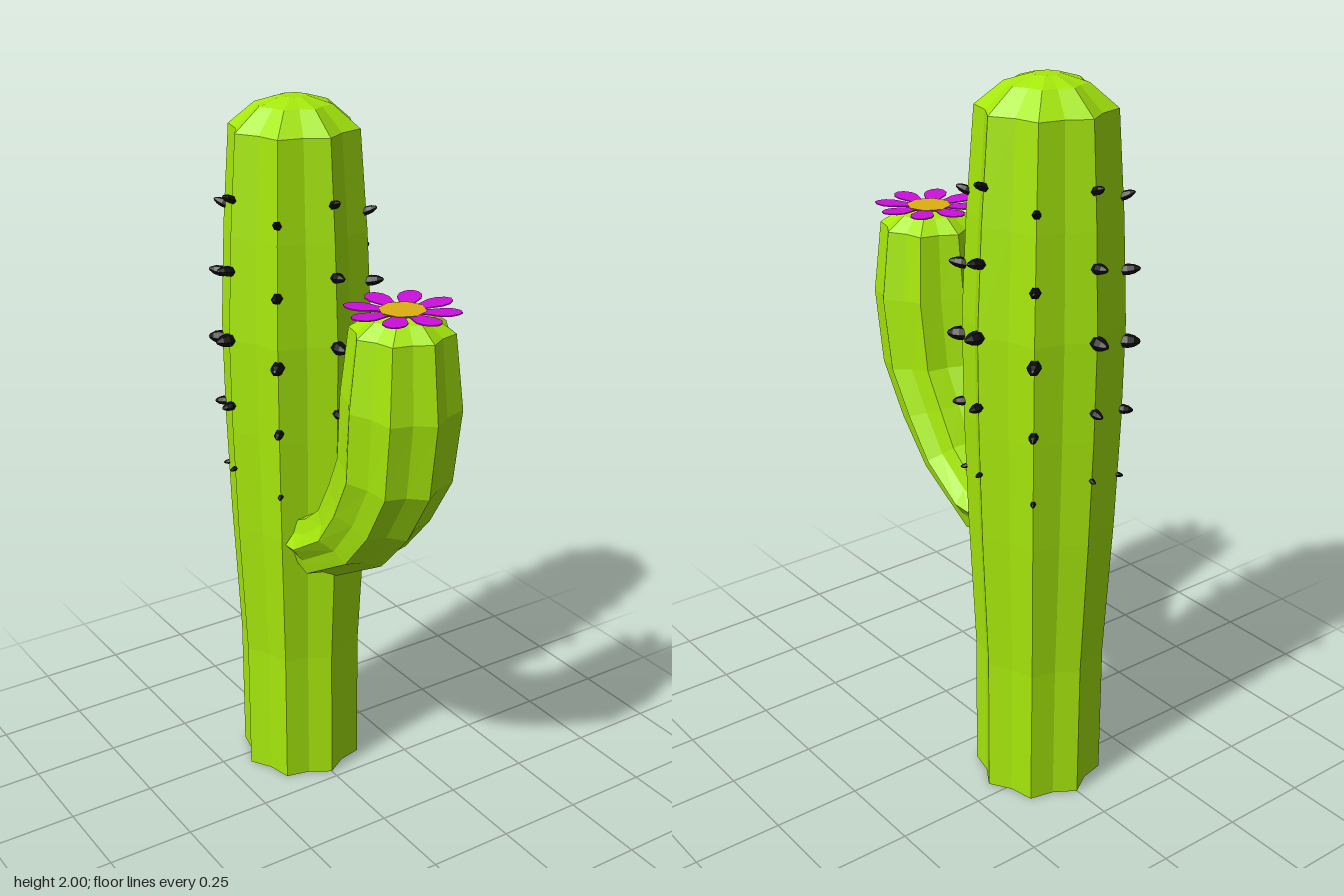
import * as THREE from 'three';

const material = (color, side = THREE.FrontSide) =>
  new THREE.MeshStandardMaterial({ color, flatShading: true, side });
const green = material(0xa6e80c);
const black = material(0x0b0b0b);
const purple = material(0xcc0fdd, THREE.DoubleSide);
const yellow = material(0xddb011, THREE.DoubleSide);

const RIBS = 8;
const VALLEY = 0.86;
const TRUNK_Z = -0.205;
const ARM_Z = 0.296;

function addMesh(parent, name, geometry, mat) {
  const mesh = new THREE.Mesh(geometry, mat);
  mesh.name = name;
  parent.add(mesh);
  return mesh;
}

// Ribbed skin through rings of [front z, front y, back z, back y, half width]
function ribbedLoft(rings) {
  const n = RIBS * 2;
  const pos = [];
  const index = [];
  for (const [zf, yf, zb, yb, rx] of rings) {
    const cy = (yf + yb) / 2;
    const cz = (zf + zb) / 2;
    for (let i = 0; i < n; i++) {
      const a = (i / n) * Math.PI * 2;
      const k = i % 2 ? VALLEY : 1;
      pos.push(rx * k * Math.cos(a), cy + (yf - cy) * k * Math.sin(a), cz + (zf - cz) * k * Math.sin(a));
    }
  }
  for (let j = 0; j < rings.length - 1; j++) {
    for (let i = 0; i < n; i++) {
      const a = j * n + i;
      const b = j * n + (i + 1) % n;
      index.push(a, a + n, b, b, a + n, b + n);
    }
  }
  // End caps
  const last = (rings.length - 1) * n;
  const centre = ([zf, yf, zb, yb]) => pos.push(0, (yf + yb) / 2, (zf + zb) / 2);
  const c0 = pos.length / 3;
  centre(rings[0]);
  centre(rings[rings.length - 1]);
  for (let i = 0; i < n; i++) {
    const k = (i + 1) % n;
    index.push(c0, i, k, c0 + 1, last + k, last + i);
  }
  const geometry = new THREE.BufferGeometry();
  geometry.setAttribute('position', new THREE.Float32BufferAttribute(pos, 3));
  geometry.setIndex(index);
  geometry.computeVertexNormals();
  return geometry;
}

const levelRing = (y, r, z) => [z + r, y, z - r, y, r];

// Trunk profile as [y, ridge radius]
const trunkProfile = [
  [0, 0.178], [0.4, 0.178], [0.8, 0.198], [1.1, 0.208], [1.37, 0.211],
  [1.65, 0.198], [1.92, 0.178], [1.98, 0.105], [2.0, 0.038],
];

function trunkRadius(y) {
  const i = trunkProfile.findIndex((p) => p[0] >= y);
  const [y0, r0] = trunkProfile[i - 1];
  const [y1, r1] = trunkProfile[i];
  return r0 + ((r1 - r0) * (y - y0)) / (y1 - y0);
}

// Blunt-pointed spine growing along +x from the origin
function spineGeometry(length, radius) {
  const profile = [[0.85, -0.25], [1, 0.2], [0.8, 0.6], [0.35, 0.92], [0, 1]];
  const geometry = new THREE.LatheGeometry(
    profile.map(([r, t]) => new THREE.Vector2(r * radius, t * length)), 6);
  return geometry.rotateZ(-Math.PI / 2);
}

function buildSpines() {
  const spines = new THREE.Group();
  spines.name = 'spines';
  spines.position.z = TRUNK_Z;
  // Rows of [y, length, radius, upward tilt]
  const rows = [
    [1.75, 0.034, 0.012, 0.4], [1.56, 0.042, 0.015, 0.15], [1.37, 0.042, 0.019, 0],
    [1.18, 0.032, 0.013, -0.1], [0.99, 0.018, 0.007, -0.2],
  ];
  for (const [y, length, radius, tilt] of rows) {
    const geometry = spineGeometry(length, radius);
    for (let i = 0; i < RIBS; i++) {
      const h = i % 2 ? y - 0.047 : y;
      const a = (i / RIBS) * Math.PI * 2;
      const r = trunkRadius(h) - 0.002;
      const spine = addMesh(spines, 'spine', geometry, black);
      spine.position.set(r * Math.cos(a), h, r * Math.sin(a));
      spine.rotation.set(0, -a, tilt, 'YXZ');
    }
  }
  return spines;
}

function buildFlower() {
  const flower = new THREE.Group();
  flower.name = 'flower';
  flower.position.set(0, 1.551, ARM_Z);
  // Petal outline, x running outwards, rising gently towards the tip
  const half = [[0.03, 0.012], [0.062, 0.019], [0.1, 0.031], [0.125, 0.029], [0.143, 0.016], [0.15, 0]];
  const outline = [...half, ...half.slice(0, -1).reverse().map(([x, y]) => [x, -y])];
  const petalShape = new THREE.Shape(outline.map(([x, y]) => new THREE.Vector2(x, y)));
  const petalGeometry = new THREE.ExtrudeGeometry(petalShape, { depth: 0.003, bevelEnabled: false });
  petalGeometry.rotateX(-Math.PI / 2);
  for (let i = 0; i < 8; i++) {
    const petal = addMesh(flower, 'petal', petalGeometry, purple);
    petal.rotation.set(0, (i * Math.PI) / 4, 0.05, 'YXZ');
  }
  const disc = new THREE.CylinderGeometry(0.062, 0.05, 0.008, 8).rotateY(Math.PI / 2);
  addMesh(flower, 'flowerCentre', disc, yellow).position.y = 0.004;
  return flower;
}

export function createModel() {
  const cactus = new THREE.Group();
  cactus.name = 'cactus';

  addMesh(cactus, 'trunk', ribbedLoft(trunkProfile.map(([y, r]) => levelRing(y, r, TRUNK_Z))), green);

  // Arm curving out of the trunk front and upwards
  addMesh(cactus, 'arm', ribbedLoft([
    [-0.055, 0.70, -0.055, 0.89, 0.135],
    [0.0, 0.683, -0.01, 0.92, 0.14],
    [0.22, 0.81, 0.03, 0.96, 0.14],
    [0.335, 0.935, 0.075, 1.05, 0.143],
    [0.428, 1.09, 0.118, 1.14, 0.15],
    [0.455, 1.3, 0.139, 1.33, 0.158],
    levelRing(1.505, 0.136, ARM_Z),
    levelRing(1.54, 0.085, ARM_Z),
    levelRing(1.55, 0.035, ARM_Z),
  ]), green);

  cactus.add(buildSpines(), buildFlower());
  return cactus;
}
